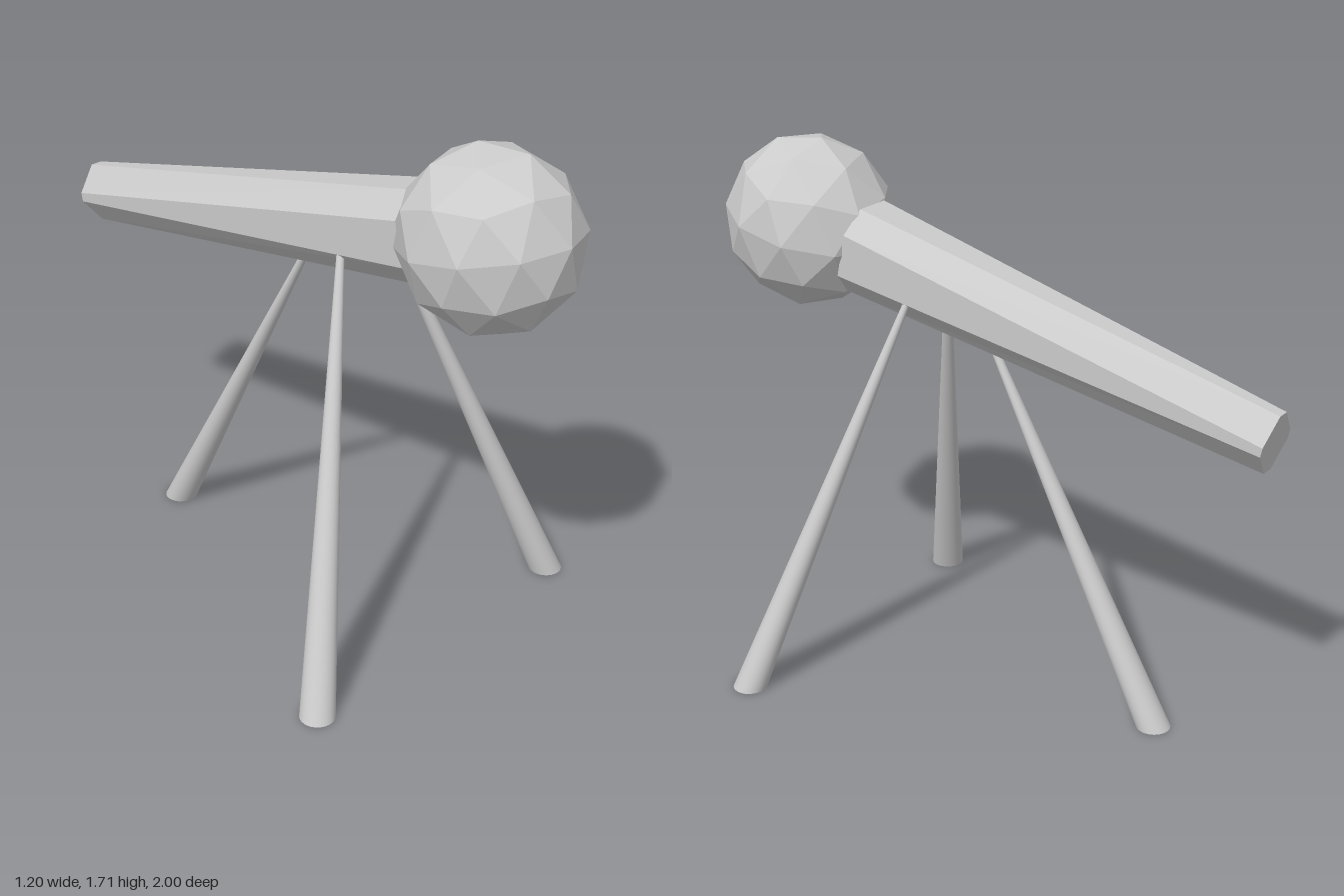
import * as THREE from 'three';

const TILT = -0.211; // nose-up pitch shared by body and head

export function createModel() {
  const model = new THREE.Group();
  const smooth = new THREE.MeshStandardMaterial({ color: 0xcccccc });
  const faceted = new THREE.MeshStandardMaterial({ color: 0xcccccc, flatShading: true });

  const add = (name, geometry, material) => {
    const mesh = new THREE.Mesh(geometry, material);
    mesh.name = name;
    model.add(mesh);
    return mesh;
  };

  // Head: low-poly ball with a vertex at the pole, slightly narrow in x
  const ball = new THREE.IcosahedronGeometry(1, 1);
  ball.rotateX(-Math.atan2((1 + Math.sqrt(5)) / 2, 1));
  ball.rotateY(Math.PI / 2);
  ball.scale(0.26, 0.282, 0.284);
  ball.rotateX(TILT);
  add('head', ball, faceted).position.set(0, 1.43, 0.718);

  // Body: tapered octagonal beam; narrow bevel flats at the rear widen to the front
  const back = { w: 0.085, wIn: 0.02, h: 0.096, hIn: 0.015 };
  const front = { w: 0.128, wIn: 0.06, h: 0.143, hIn: 0.07 };
  const { w, wIn, h, hIn } = back;
  const outline = new THREE.Shape([
    [w, -hIn], [w, hIn], [wIn, h], [-wIn, h], [-w, hIn], [-w, -hIn], [-wIn, -h], [wIn, -h],
  ].map(([x, y]) => new THREE.Vector2(x, y)));
  const length = 1.504;
  const beam = new THREE.ExtrudeGeometry(outline, { depth: length, bevelEnabled: false });
  const p = beam.attributes.position;
  for (let i = 0; i < p.count; i++) {
    if (p.getZ(i) < length / 2) continue;
    const x = p.getX(i), y = p.getY(i);
    p.setX(i, Math.sign(x) * (Math.abs(x) > 0.05 ? front.w : front.wIn));
    p.setY(i, Math.sign(y) * (Math.abs(y) > 0.05 ? front.h : front.hIn));
  }
  beam.computeVertexNormals();
  beam.rotateX(TILT);
  add('body', beam, faceted).position.set(0, 1.065, -0.98);

  // Legs: tapered cones sheared so that the feet sit flat on the ground
  const leg = (name, foot, top) => {
    const height = top[1];
    const cone = new THREE.CylinderGeometry(0.011, 0.055, height, 32);
    cone.translate(0, height / 2, 0);
    const shear = new THREE.Matrix4().set(
      1, (top[0] - foot[0]) / height, 0, foot[0],
      0, 1, 0, 0,
      0, (top[2] - foot[2]) / height, 1, foot[2],
      0, 0, 0, 1,
    );
    add(name, cone.applyMatrix4(shear), smooth);
  };
  for (const [side, s] of [['Left', 1], ['Right', -1]]) {
    leg('frontLeg' + side, [s * 0.547, 0, 0.585], [s * 0.1, 1.29, 0.242]);
  }
  leg('rearLeg', [0, 0, -0.62], [0, 1.2, 0.025]);

  return model;
}
